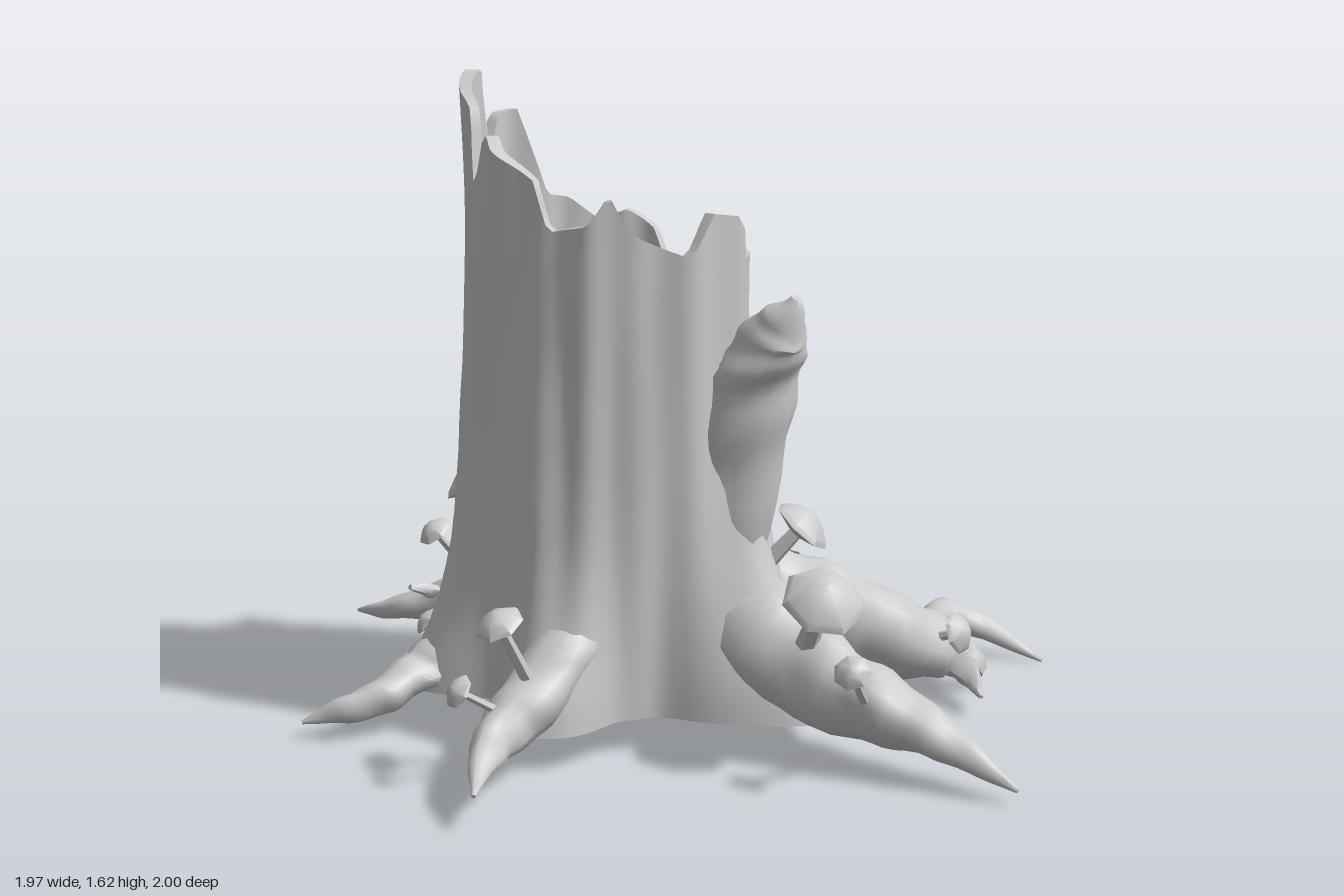
import * as THREE from 'three';
import { toCreasedNormals } from 'three/addons/utils/BufferGeometryUtils.js';

const bark = new THREE.MeshStandardMaterial({ color: 0xcccccc, side: THREE.DoubleSide });
const V = (p) => new THREE.Vector3(p[0], p[1], p[2]);
const AXIS_X = -.22, AXIS_Z = -.05;

// Trunk tables by angle in degrees, running from +x towards +z
const TRUNK_RADIUS = [[0, .32], [30, .34], [60, .39], [90, .34], [135, .31], [180, .32],
  [225, .35], [250, .36], [270, .325], [315, .31], [360, .32]];
const RIM = [[0, 1.2], [15, 1.2], [35, 1.21], [55, 1.2], [62, 1.31], [72, 1.32], [83, 1.22],
  [95, 1.25], [107, 1.28], [115, 1.37], [124, 1.3], [143, 1.28], [150, 1.4], [165, 1.45],
  [182, 1.5], [188, 1.36], [197, 1.55], [207, 1.59], [218, 1.64], [229, 1.62], [238, 1.43],
  [244, 1.52], [255, 1.53], [262, 1.4], [268, 1.31], [280, 1.3], [295, 1.24], [310, 1.27],
  [325, 1.22], [333, 1.1], [341, .88], [350, 1.05], [354, 1.2], [360, 1.2]];
// Flare towards each root: [angle, strength, spread]
const FLARE = [[28, .5, 19], [62, .62, 19], [140, .55, 18], [203, .5, 16], [265, .55, 18],
  [307, .55, 17], [333, .5, 17]];
const FLARE_HEIGHT = [[.1, 1], [.17, .93], [.25, .72], [.35, .5], [.5, .27], [.7, .11], [.95, 0]];

// Linear lookup in [key, value] pairs
function lookup(table, k) {
  for (let i = 1; i < table.length; i++) {
    const [a, u] = table[i - 1], [b, v] = table[i];
    if (k <= b) return u + (v - u) * Math.max(0, (k - a) / (b - a));
  }
  return table[table.length - 1][1];
}

// Closed skin over columns x rows of points
function skin(cols, rows, point, crease) {
  const pos = [], index = [];
  for (let i = 0; i < cols; i++) for (let j = 0; j < rows; j++) pos.push(...point(i, j));
  for (let i = 0; i < cols; i++) {
    const n = (i + 1) % cols;
    for (let j = 0; j < rows - 1; j++) {
      const a = i * rows + j, b = n * rows + j;
      index.push(a, a + 1, b, b, a + 1, b + 1);
    }
  }
  const g = new THREE.BufferGeometry();
  g.setAttribute('position', new THREE.Float32BufferAttribute(pos, 3));
  g.setIndex(index);
  return toCreasedNormals(g, crease);
}

function add(parent, name, geometry) {
  const m = new THREE.Mesh(geometry, bark);
  m.name = name;
  parent.add(m);
}

// Keep a limb's buried side inside the trunk wall, out of the hollow
function pushOutOfHollow(p) {
  const dx = p.x - AXIS_X, dz = p.z - AXIS_Z, d = Math.hypot(dx, dz);
  const deg = (Math.atan2(dz, dx) * 180 / Math.PI + 360) % 360;
  const k = Math.max(1, (lookup(TRUNK_RADIUS, deg) - .015) / d);
  return p.set(AXIS_X + dx * k, p.y, AXIS_Z + dz * k);
}

// Tapered lumpy limb through [x, y, z, radius] points
function limb(parent, name, pts, sides = 12) {
  const curve = new THREE.CatmullRomCurve3(pts.map(V), false, 'centripetal');
  const steps = pts.length * 4, frames = curve.computeFrenetFrames(steps);
  const radii = pts.map((p, i) => [i, p[3]]);
  const geo = skin(sides, steps + 3, (i, j) => {
    const k = Math.min(Math.max(j - 1, 0), steps);
    const c = curve.getPoint(k / steps), a = (i / sides) * Math.PI * 2;
    const r = j === 0 || j === steps + 2 ? 0
      : lookup(radii, (k / steps) * (pts.length - 1))
        * (1 + 0.08 * Math.sin(3 * a + k * 0.35) + 0.06 * Math.sin(k * 1.3 + a));
    c.addScaledVector(frames.normals[k], Math.cos(a) * r);
    c.addScaledVector(frames.binormals[k], -Math.sin(a) * r);
    return pushOutOfHollow(c).toArray();
  }, 0.9);
  add(parent, name, geo);
}

function flare(deg, y) {
  let sum = 0;
  for (const [at, strength, spread] of FLARE) {
    const d = ((deg - at + 540) % 360) - 180;
    sum += strength * Math.exp(-((d / spread) ** 2));
  }
  return 1 + Math.min(sum, .65) * lookup(FLARE_HEIGHT, y);
}

// Trunk with a jagged rim and a bowl-shaped hollow
function trunkGeometry() {
  const cols = 120, up = 20, down = 14;
  return skin(cols, up + down + 3, (i, j) => {
    const deg = (i / cols) * 360, a = (deg * Math.PI) / 180;
    const rim = lookup(RIM, deg), base = lookup(TRUNK_RADIUS, deg);
    const ridge = 0.006 * Math.sin(9 * a + 1) + 0.005 * Math.sin(17 * a + 2);
    let r, y;
    if (j === 0) { r = 0; y = .11; }
    else if (j <= up + 1) {
      y = .1 + (rim - .1) * ((j - 1) / up) ** 1.15;
      r = base * flare(deg, y) + ridge + 0.007 * Math.sin(6 * a + y * 6);
    } else {
      const u = ((j - up - 2) / down) * Math.PI / 2;
      y = rim + (.4 - rim) * Math.sin(u);
      r = (base + ridge * Math.cos(u) - .03) * Math.max(0, Math.cos(u)) ** .5;
    }
    return [AXIS_X + r * Math.cos(a), y, AXIS_Z + r * Math.sin(a)];
  }, 0.9);
}

// Faceted mushroom from its foot to the underside of its cap
function mushroom(parent, foot, top, r) {
  const g = new THREE.Group();
  g.name = 'mushroom';
  const dir = V(top).sub(V(foot)), len = dir.length();
  const stem = new THREE.CylinderGeometry(r * .2, r * .3, len, 6).translate(0, len / 2, 0);
  const profile = [[0, -.3], [.3, -.25], [1, 0], [.9, .15], [.5, .45], [0, .62]]
    .map(([x, y]) => new THREE.Vector2(x * r, y * r));
  const cap = new THREE.LatheGeometry(profile, 7).translate(0, len, 0);
  add(g, 'mushroomStem', toCreasedNormals(stem, 0.9));
  add(g, 'mushroomCap', toCreasedNormals(cap, 0.6));
  g.position.copy(V(foot));
  g.quaternion.setFromUnitVectors(new THREE.Vector3(0, 1, 0), dir.normalize());
  parent.add(g);
}

export function createModel() {
  const model = new THREE.Group();
  model.name = 'treeStump';
  add(model, 'trunk', trunkGeometry());

  // Spreading roots
  const roots = {
    frontRoot: [[-.04, .42, .2, .08], [-.01, .31, .34, .12], [.06, .22, .5, .115], [.13, .18, .64, .09],
      [.19, .14, .76, .06], [.24, .1, .87, .035], [.29, .05, .99, .005]],
    frontLeftRoot: [[-.02, .44, .08, .08], [.12, .34, .17, .12], [.28, .27, .24, .13], [.44, .19, .28, .11],
      [.57, .14, .29, .08], [.66, .13, .2, .06], [.71, .13, .08, .05], [.79, .13, .03, .045],
      [.88, .09, .07, .035], [.98, .02, .21, .005]],
    backLeftRoot: [[.08, 1.11, -.2, .015], [.07, .95, -.2, .055], [.06, .7, -.17, .095], [.08, .48, -.18, .14],
      [.22, .27, -.27, .12], [.33, .18, -.38, .08], [.43, .15, -.44, .062], [.55, .12, -.42, .052],
      [.65, .08, -.35, .045], [.69, .07, -.37, .03], [.7, .05, -.46, .005]],
    backRoot: [[-.06, .5, -.25, .07], [.02, .34, -.36, .115], [.1, .24, -.5, .11], [.2, .18, -.61, .08],
      [.25, .16, -.7, .055], [.2, .13, -.81, .045], [.17, .1, -.9, .03], [.16, .06, -1, .005]],
    backRightRoot: [[-.2, .5, -.3, .06], [-.19, .34, -.42, .09], [-.22, .21, -.57, .088], [-.31, .16, -.7, .068],
      [-.4, .12, -.81, .045], [-.48, .09, -.91, .028], [-.53, .07, -1, .005]],
    rightRoot: [[-.43, .5, -.15, .06], [-.5, .28, -.2, .085], [-.6, .17, -.21, .075], [-.7, .14, -.19, .052],
      [-.8, .11, -.16, .045], [-.89, .09, -.18, .033], [-.98, .06, -.22, .005]],
    frontRightRoot: [[-.38, .5, .1, .06], [-.46, .28, .19, .085], [-.6, .18, .26, .075], [-.7, .15, .32, .055],
      [-.77, .13, .4, .04], [-.85, .1, .52, .005]],
  };
  for (const [name, pts] of Object.entries(roots)) limb(model, name, pts);

  // Small side rootlets
  const rootlets = [
    [[.72, .13, .08, .035], [.75, .12, -.02, .022], [.745, .1, -.13, .004]],
    [[-.38, .16, -.76, .02], [-.42, .18, -.74, .02], [-.48, .2, -.73, .008]],
    [[.6, .12, .3, .05], [.6, .1, .38, .035], [.57, .07, .48, .005]],
    [[.64, .12, .25, .05], [.69, .08, .3, .035], [.7, .05, .25, .01]],
    [[.22, .17, -.6, .04], [.28, .15, -.61, .025], [.32, .13, -.6, .006]],
  ];
  for (const pts of rootlets) limb(model, 'rootlet', pts, 7);

  // Broken branch stubs
  limb(model, 'frontBranchStub', [[-.03, .42, .23, .09], [-.02, .72, .25, .12], [-.01, .92, .3, .11],
    [.01, 1.02, .37, .085], [.02, 1.07, .41, .06], [.03, 1.13, .44, .012]]);
  limb(model, 'backBranchStub', [[-.2, .65, -.29, .06], [-.2, .88, -.35, .065], [-.2, 1.02, -.41, .05],
    [-.2, 1.1, -.45, .04], [-.2, 1.17, -.48, .01]], 8);

  // Mushrooms: foot, cap position, cap radius
  const mushrooms = [
    [[.02, .28, .5], [-.01, .45, .63], .1], [[.08, .2, .68], [-.02, .32, .77], .045],
    [[.03, .42, .27], [.12, .54, .33], .08], [[-.57, .21, .25], [-.67, .4, .28], .06],
    [[-.66, .18, .28], [-.78, .26, .29], .042], [[-.26, .3, -.42], [-.35, .53, -.53], .1],
    [[-.32, .2, -.54], [-.49, .41, -.52], .048], [[.06, .28, -.45], [.12, .42, -.58], .095],
    [[.18, .15, -.76], [.15, .3, -.78], .045], [[.18, .14, -.82], [.14, .2, -.85], .038],
    [[.18, .3, .05], [.3, .33, .02], .06], [[.5, .18, .3], [.55, .22, .4], .055],
    [[.33, .2, -.3], [.39, .2, -.23], .035], [[-.56, .2, -.24], [-.62, .25, -.27], .04],
  ];
  for (const m of mushrooms) mushroom(model, ...m);
  return model;
}
